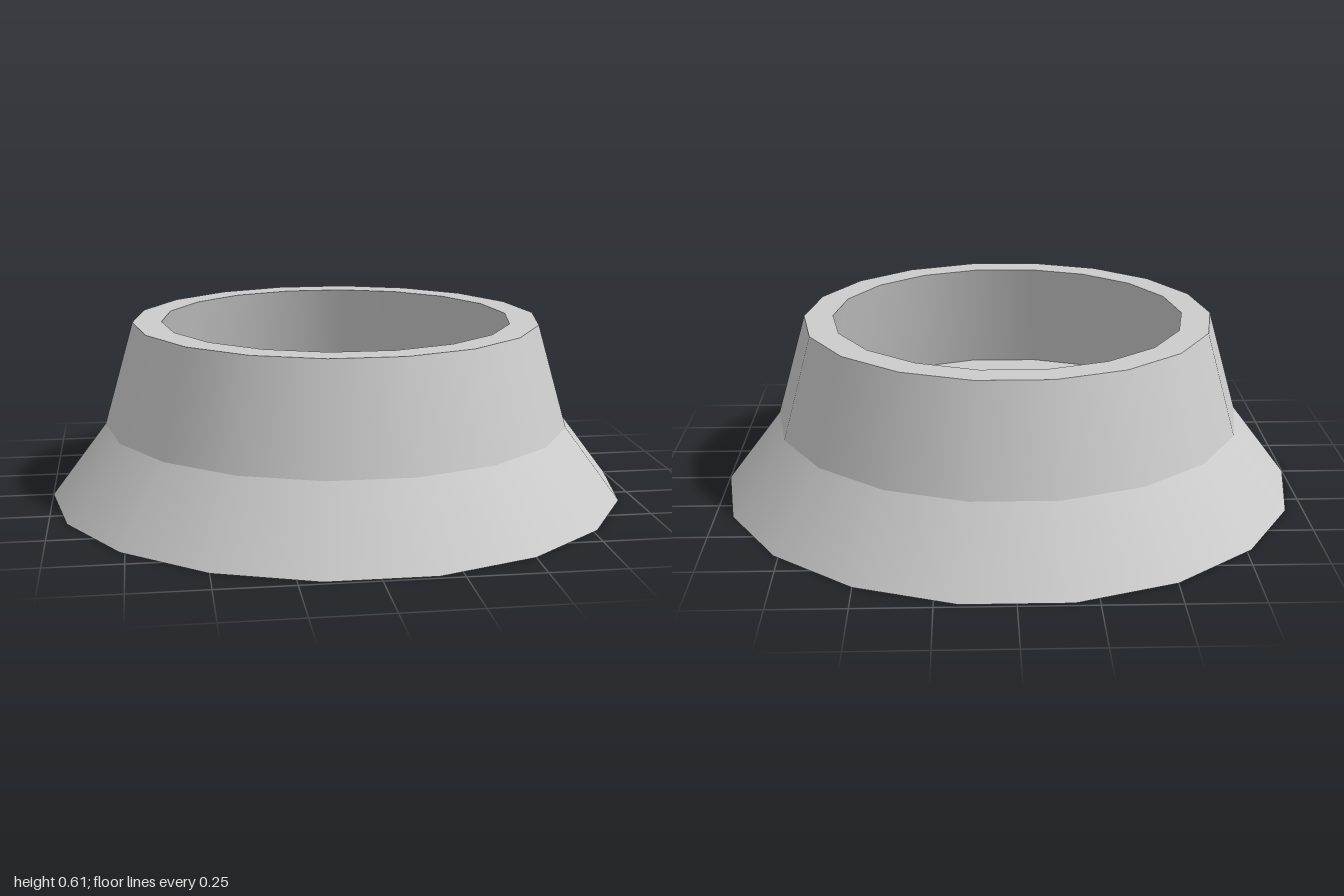
import * as THREE from 'three';

const SIDES = 18;

export function createModel() {
  const group = new THREE.Group();
  group.name = 'flaredCollar';
  const material = new THREE.MeshStandardMaterial({ color: 0xcccccc });

  // Profile [radius, height], from the base centre up the outside and down into the undercut recess
  const profile = [
    [0, 0], [1, 0], [0.81, 0.25], [0.707, 0.605],
    [0.607, 0.605], [0.72, 0.2], [0, 0.2],
  ].map(([r, y]) => new THREE.Vector2(r, y));
  const names = ['base', 'flaredSkirt', 'upperWall', 'rim', 'innerWall', 'recessFloor'];

  // One band per profile segment: smooth around, sharp between bands
  names.forEach((name, i) => {
    const band = new THREE.LatheGeometry([profile[i], profile[i + 1]], SIDES, Math.PI / 2);
    band.normalizeNormals();
    const mesh = new THREE.Mesh(band, material);
    mesh.name = name;
    group.add(mesh);
  });

  return group;
}
